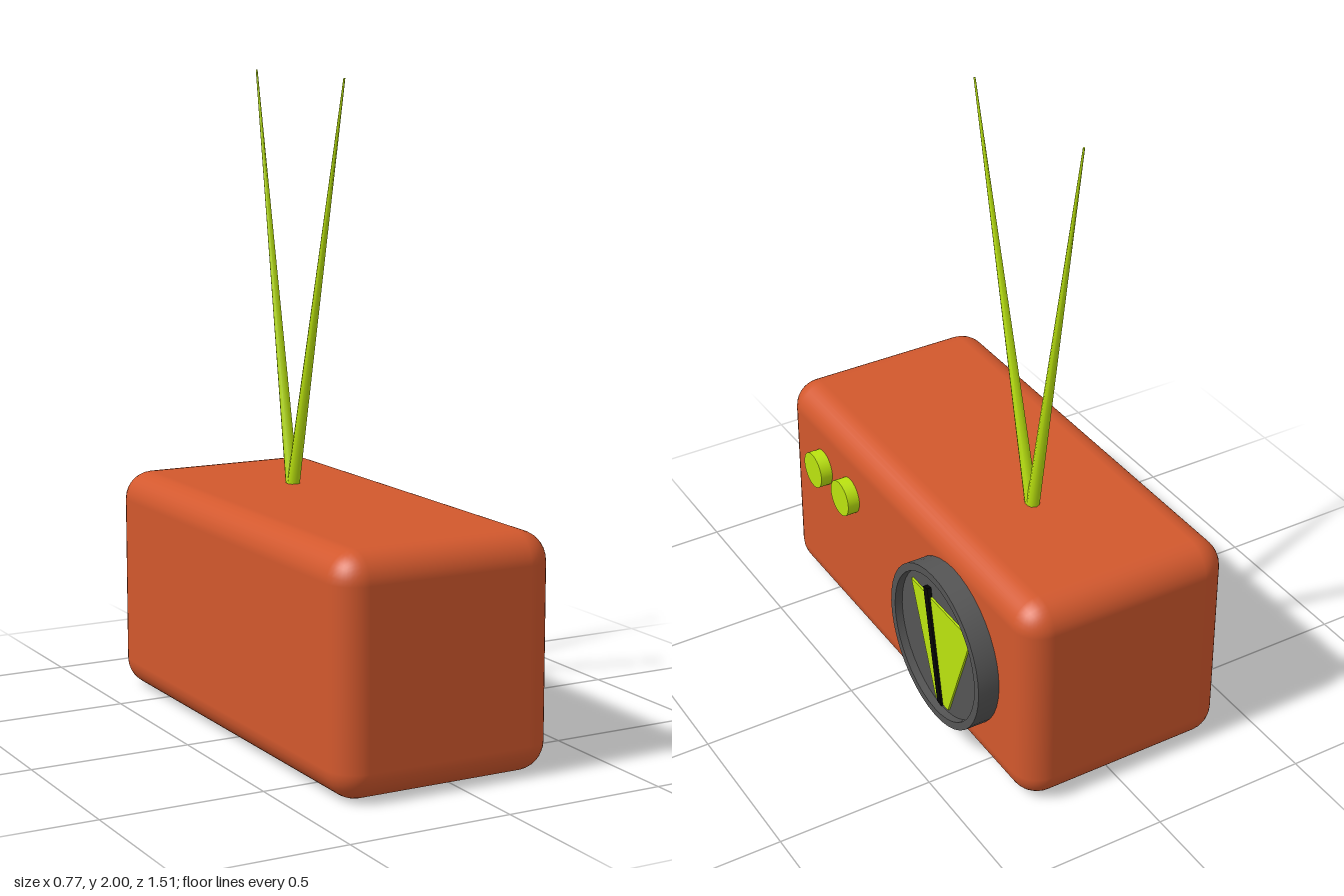
import * as THREE from 'three';
import { RoundedBoxGeometry } from 'three/addons/geometries/RoundedBoxGeometry.js';
import { toCreasedNormals } from 'three/addons/utils/BufferGeometryUtils.js';

const paint = (color) => new THREE.MeshStandardMaterial({ color });
const orange = paint(0xd2582d);
const green = paint(0xbbe40f);
const grey = paint(0x555555);
const black = paint(0x050505);

const FACE_X = 0.315; // plane of the control side

function add(parent, name, geometry, material) {
  const mesh = new THREE.Mesh(geometry, material);
  mesh.name = name;
  parent.add(mesh);
  return mesh;
}

// Thin plate lying on the dial; outline points are [z, y]
function plate(outline, depth) {
  const shape = new THREE.Shape(outline.map(([z, y]) => new THREE.Vector2(-z, y)));
  return new THREE.ExtrudeGeometry(shape, { depth, bevelEnabled: false }).rotateY(Math.PI / 2);
}

// Tapered rod between two points
function rod(from, to, r0, r1) {
  const dir = to.clone().sub(from);
  const geometry = new THREE.CylinderGeometry(r1, r0, dir.length(), 8);
  geometry.applyQuaternion(
    new THREE.Quaternion().setFromUnitVectors(new THREE.Vector3(0, 1, 0), dir.normalize()));
  const mid = from.clone().add(to).multiplyScalar(0.5);
  return geometry.translate(mid.x, mid.y, mid.z);
}

export function createModel() {
  const radio = new THREE.Group();
  radio.name = 'radio';

  // Rounded case
  const body = add(radio, 'case', new RoundedBoxGeometry(0.705, 0.71, 1.515, 4, 0.09), orange);
  body.position.set(-0.0375, 0.355, -0.002);

  // Dial with a raised rim and a recessed floor
  const dial = new THREE.Group();
  dial.name = 'tuningDial';
  radio.add(dial);
  const profile = [[0.265, -0.01], [0.265, 0.07], [0.24, 0.07], [0.24, 0.045], [0, 0.045]]
    .map(([r, h]) => new THREE.Vector2(r, h));
  const housing = add(dial, 'dialHousing',
    toCreasedNormals(new THREE.LatheGeometry(profile, 40), 0.6), grey);
  housing.rotation.z = -Math.PI / 2;
  housing.position.set(FACE_X, 0.36, -0.335);

  // Dial scale and needle
  const scale = add(dial, 'dialScale',
    plate([[-0.17, 0.505], [-0.31, 0.14], [-0.385, 0.14], [-0.525, 0.505]], 0.012), green);
  scale.position.x = FACE_X + 0.04;
  const needle = add(dial, 'dialNeedle',
    plate([[-0.256, 0.532], [-0.332, 0.142], [-0.356, 0.138], [-0.28, 0.537]], 0.014), black);
  needle.position.x = FACE_X + 0.045;

  // Control knobs
  for (const z of [0.505, 0.32]) {
    const knob = add(radio, 'knob', new THREE.CylinderGeometry(0.06, 0.06, 0.05, 32), green);
    knob.rotation.z = -Math.PI / 2;
    knob.position.set(FACE_X + 0.015, 0.5, z);
  }

  // Pair of tapering antennas
  for (const [z0, z1, y1] of [[-0.268, 0.066, 1.98], [-0.27, -0.505, 2]]) {
    add(radio, 'antenna',
      rod(new THREE.Vector3(0, 0.69, z0), new THREE.Vector3(0, y1, z1), 0.021, 0.003), green);
  }

  return radio;
}
